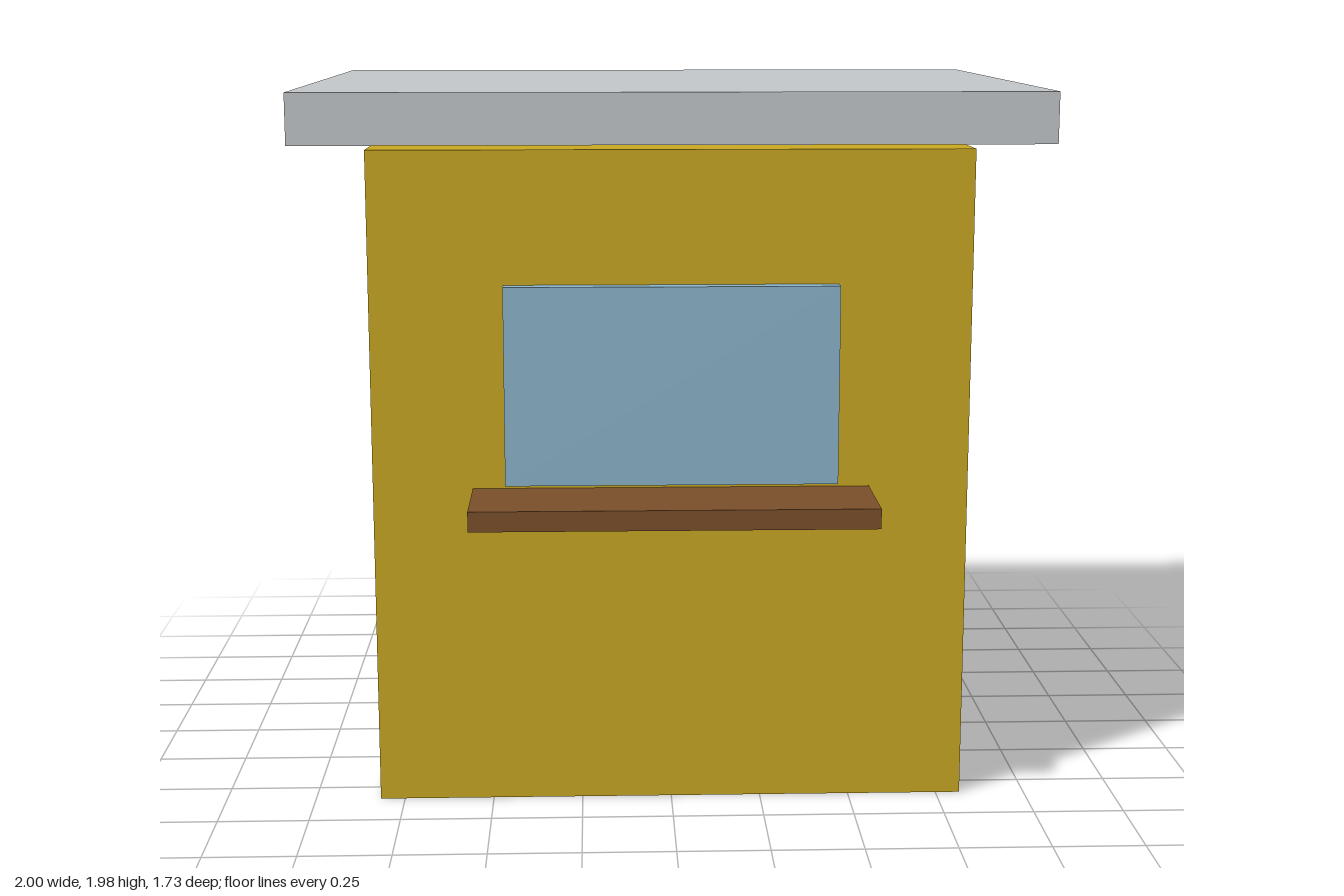
import * as THREE from 'three';

const paint = (name, color) => {
  const m = new THREE.MeshStandardMaterial({ color });
  m.name = name;
  return m;
};

export function createModel() {
  const yellow = paint('yellowWall', 0xc9a722);
  const grey = paint('greyRoof', 0xc2c6c9);
  const blue = paint('blueGlass', 0x8bb4ca);
  const brown = paint('brownWood', 0x7a4f2a);

  const booth = new THREE.Group();
  booth.name = 'booth';

  // Adds a box given its size and centre
  const box = (name, material, [w, h, d], [x, y, z]) => {
    const mesh = new THREE.Mesh(new THREE.BoxGeometry(w, h, d), material);
    mesh.name = name;
    mesh.position.set(x, y, z);
    booth.add(mesh);
  };

  // Cabin, with the flat slab roof held just above it
  box('cabin', yellow, [1.636, 1.818, 1.273], [0, 0.909, -0.0455]);
  box('roof', grey, [2, 0.136, 1.636], [0, 1.91, -0.0455]);

  // Serving window set into the front wall, counter below it
  box('window', blue, [0.909, 0.545, 0.091], [0, 1.182, 0.591]);
  box('counter', brown, [1.09, 0.055, 0.273], [0, 0.866, 0.7275]);

  return booth;
}
